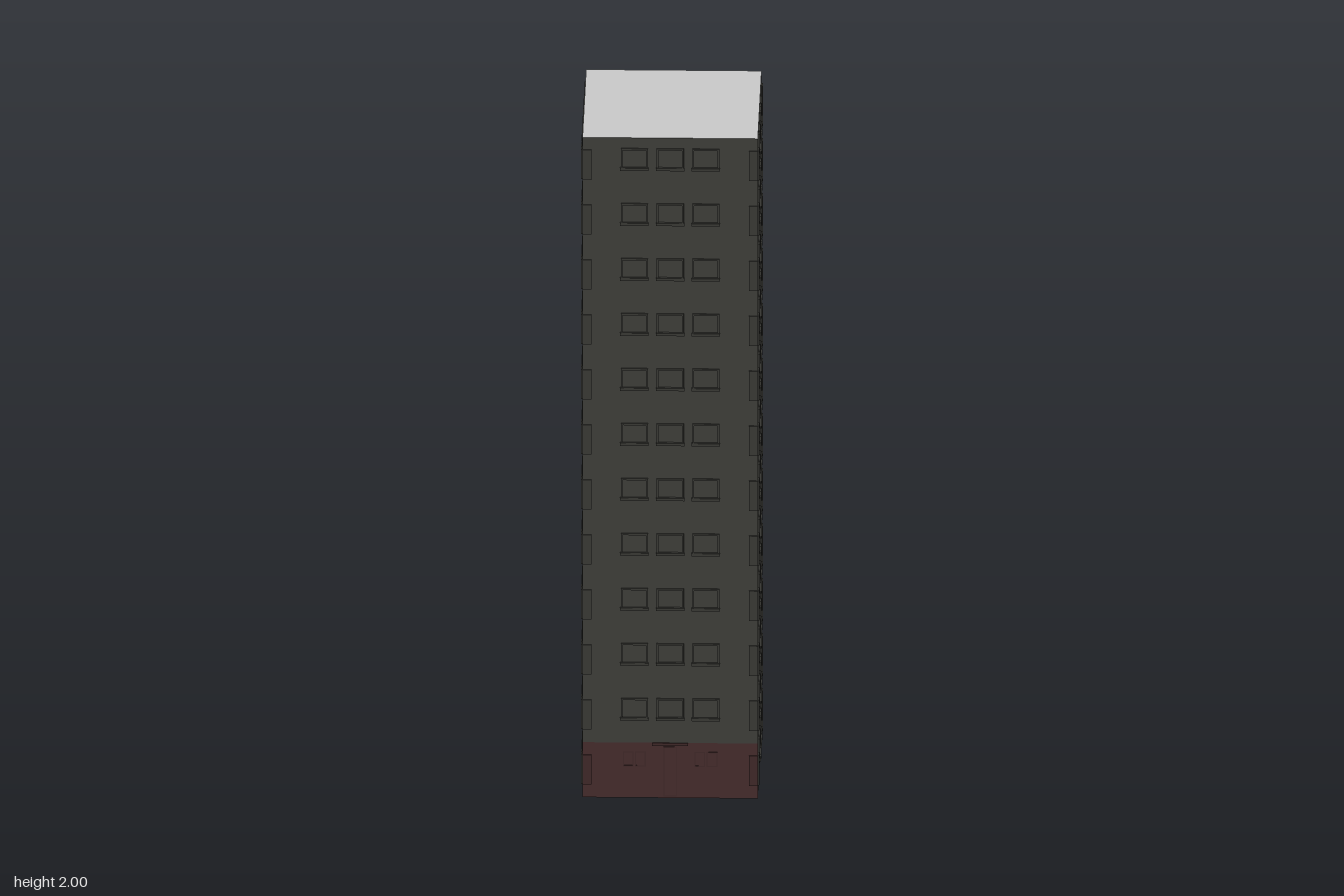
import * as THREE from 'three';

const HALF = 0.245, FLOORS = 12, STOREY = 2 / FLOORS;

const mat = (color, side = THREE.FrontSide) =>
  new THREE.MeshStandardMaterial({ color, side, flatShading: true });
const wallMat = mat(0x3b3b37, THREE.DoubleSide);
const trimMat = mat(0x363632);
const redMat = mat(0x422929, THREE.DoubleSide);
const redTrimMat = mat(0x3c2525);
const roofMat = mat(0xcccccc, THREE.DoubleSide);

function add(parent, name, geometry, material, x = 0, y = 0, z = 0) {
  const mesh = new THREE.Mesh(geometry, material);
  mesh.name = name;
  mesh.position.set(x, y, z);
  parent.add(mesh);
  return mesh;
}

// Rectangular frame with an open centre, standing on its lower edge
function frameGeometry(w, h, border, depth) {
  const rect = (Type, a, b, c, d) => new Type([
    new THREE.Vector2(a, b), new THREE.Vector2(c, b),
    new THREE.Vector2(c, d), new THREE.Vector2(a, d)]);
  const shape = rect(THREE.Shape, -w / 2, 0, w / 2, h);
  shape.holes.push(rect(THREE.Path, -w / 2 + border, border, w / 2 - border, h - border));
  return new THREE.ExtrudeGeometry(shape, { depth, bevelEnabled: false });
}

const frameGeo = frameGeometry(0.076, 0.062, 0.005, 0.004);
const sillGeo = new THREE.BoxGeometry(0.08, 0.008, 0.007);
const cornerGeo = new THREE.BoxGeometry(0.025, 0.09, 0.004);
const paneGeo = frameGeometry(0.03, 0.045, 0.003, 0.002);

// One storey of three framed windows with sills
function windowRow(parent, y) {
  for (const x of [-0.1, 0, 0.1]) {
    add(parent, 'windowFrame', frameGeo, trimMat, x, y + 0.073, HALF);
    add(parent, 'windowSill', sillGeo, trimMat, x, y + 0.073, HALF + 0.0035);
  }
}

// Ground floor entrance with door, canopy and paired small windows
function entrance(parent) {
  add(parent, 'entranceWall', new THREE.PlaneGeometry(HALF * 2, STOREY), redMat, 0, STOREY / 2, HALF);
  add(parent, 'door', frameGeometry(0.036, 0.15, 0.002, 0.001), redTrimMat, 0, 0.005, HALF);
  add(parent, 'doorCanopy', new THREE.BoxGeometry(0.1, 0.008, 0.004), redTrimMat, 0, 0.163, HALF + 0.002);
  for (const x of [-0.117, -0.083, 0.083, 0.117])
    add(parent, 'entranceWindow', paneGeo, redTrimMat, x, 0.095, HALF);
}

function facade(isFront) {
  const side = new THREE.Group();
  const base = isFront ? STOREY : 0;
  add(side, 'wall', new THREE.PlaneGeometry(HALF * 2, 2 - base), wallMat, 0, (2 + base) / 2, HALF);
  if (isFront) entrance(side);
  for (let i = 0; i < FLOORS; i++) {
    const y = i * STOREY;
    if (!isFront || i > 0) windowRow(side, y);
    // Corner trim at both ends of the storey
    for (const s of [-1, 1])
      add(side, 'cornerTrim', cornerGeo, isFront && i === 0 ? redTrimMat : trimMat,
        s * (HALF - 0.0125), y + 0.085, HALF + 0.002);
  }
  return side;
}

export function createModel() {
  const tower = new THREE.Group();
  tower.name = 'apartmentTower';
  ['frontFacade', 'leftFacade', 'backFacade', 'rightFacade'].forEach((name, i) => {
    const side = facade(i === 0);
    side.name = name;
    side.rotation.y = i * Math.PI / 2;
    tower.add(side);
  });
  // Flat roof; the underside of the tower stays open
  add(tower, 'roof', new THREE.PlaneGeometry(HALF * 2, HALF * 2), roofMat, 0, 2, 0).rotation.x = -Math.PI / 2;
  return tower;
}
